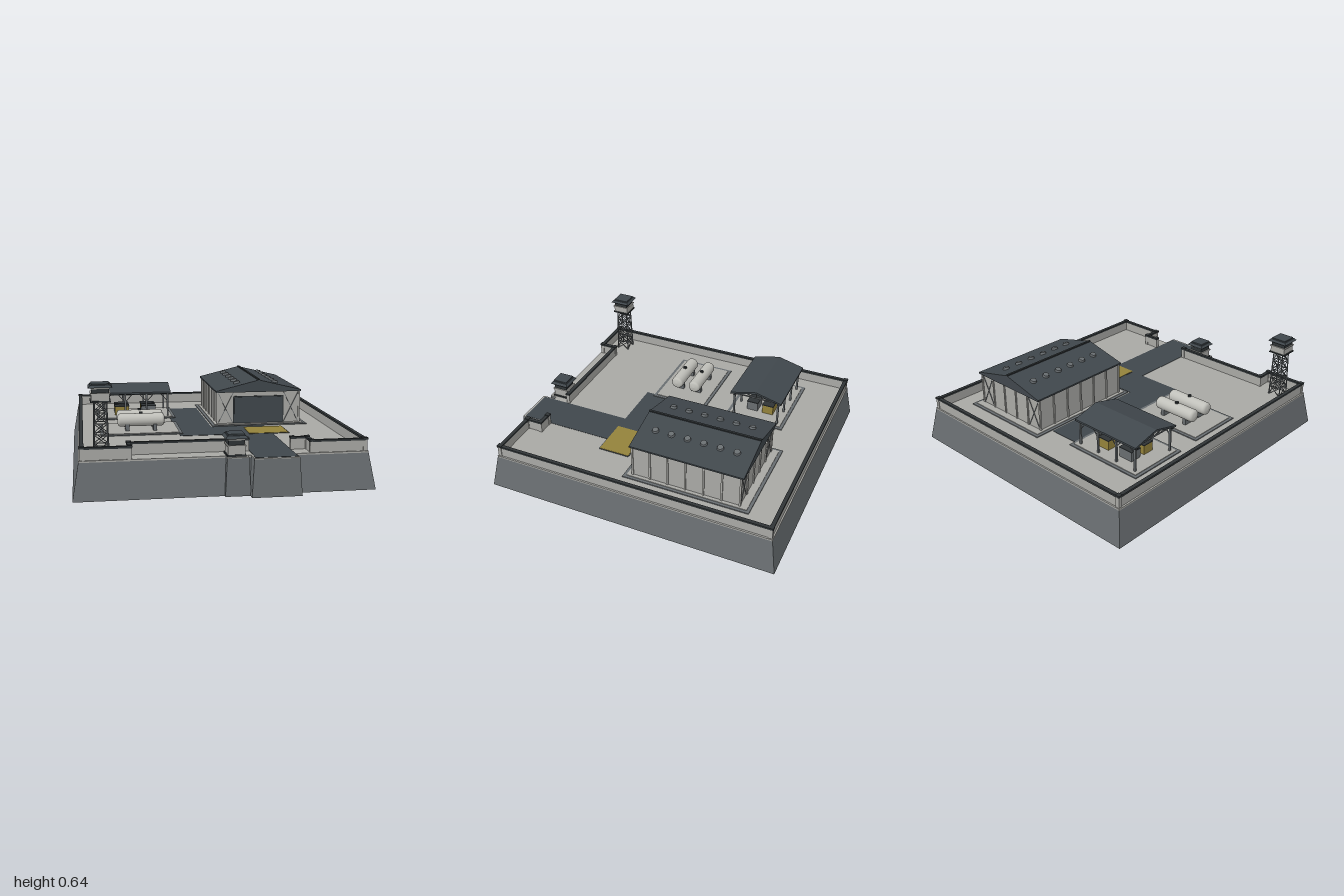
import * as THREE from 'three';

const mat = (name, color, side = THREE.FrontSide) => {
  const m = new THREE.MeshStandardMaterial({ color, side });
  m.name = name;
  return m;
};

export function createModel() {
  const concrete = mat('light concrete', 0xa9a9a5);
  const stone = mat('grey stone', 0x686d70);
  const slate = mat('dark slate', 0x40474c);
  const charcoal = mat('charcoal', 0x2f3436);
  const steel = mat('pale steel', 0xc0c0ba);
  const ochre = mat('ochre', 0x94823b);

  const root = new THREE.Group();
  root.name = 'walledCompound';
  const group = (name, parent = root) => {
    const g = new THREE.Group();
    g.name = name;
    parent.add(g);
    return g;
  };
  const add = (parent, name, geo, material) => {
    const m = new THREE.Mesh(geo, material);
    m.name = name;
    parent.add(m);
    return m;
  };
  // box given by its limits
  const box = (p, name, m, x0, x1, y0, y1, z0, z1) => {
    const b = add(p, name, new THREE.BoxGeometry(x1 - x0, y1 - y0, z1 - z0), m);
    b.position.set((x0 + x1) / 2, (y0 + y1) / 2, (z0 + z1) / 2);
    return b;
  };
  // box whose top is drawn in on every side
  const frustum = (p, name, m, x0, x1, y0, y1, z0, z1, inset) => {
    const b = box(p, name, m, x0, x1, y0, y1, z0, z1);
    const a = b.geometry.attributes.position;
    for (let i = 0; i < a.count; i++) {
      if (a.getY(i) > 0) {
        a.setX(i, a.getX(i) - Math.sign(a.getX(i)) * inset);
        a.setZ(i, a.getZ(i) - Math.sign(a.getZ(i)) * inset);
      }
    }
    b.geometry.computeVertexNormals();
    return b;
  };
  // square bar between two points
  const beam = (p, name, m, a, b, t) => {
    const A = new THREE.Vector3(...a), B = new THREE.Vector3(...b);
    const s = add(p, name, new THREE.BoxGeometry(t, t, A.distanceTo(B)), m);
    s.position.copy(A).add(B).multiplyScalar(0.5);
    s.lookAt(B);
    return s;
  };
  const extrude = (pts, depth) => new THREE.ExtrudeGeometry(
    new THREE.Shape(pts.map(q => new THREE.Vector2(...q))), { depth, bevelEnabled: false });

  // Sloped plinth with paved top, entrance ramp block and guard block
  const F = 0.225;
  const plinth = group('plinth');
  frustum(plinth, 'plinthSlope', stone, -0.88, 0.88, 0, 0.215, -1, 0.935, 0.038);
  box(plinth, 'pavedGround', concrete, -0.842, 0.842, 0.215, F, -0.962, 0.897);
  frustum(plinth, 'entranceBlock', stone, 0.125, 0.42, 0, 0.22, 0.7, 1, 0.015);
  box(plinth, 'entranceSlab', concrete, 0.14, 0.405, 0.22, F, 0.7, 0.985);
  frustum(plinth, 'guardBlock', stone, -0.02, 0.13, 0, 0.22, 0.7, 0.955, 0.012);
  box(plinth, 'guardSlab', concrete, -0.008, 0.118, 0.22, F, 0.7, 0.943);

  // Roads and marked parking pad
  const roads = group('roads');
  [[-0.2, 0.04, -0.64, 0.33], [0.04, 0.15, 0.08, 0.33], [0.15, 0.4, 0.05, 0.97]].forEach(
    ([a, b, c, d]) => box(roads, 'road', slate, a, b, F, F + 0.002, c, d));
  box(roads, 'padEdge', slate, 0.243, 0.512, F, F + 0.003, 0.122, 0.338);
  box(roads, 'yellowPad', ochre, 0.248, 0.507, F, F + 0.005, 0.127, 0.333);

  // Raised foundations with a darker border
  [[0.05, 0.7, -0.765, 0.07], [-0.71, -0.16, -0.685, -0.275], [-0.7, -0.175, -0.12, 0.27]].forEach(
    ([a, b, c, d]) => {
      const f = group('foundation');
      box(f, 'foundationBorder', stone, a, b, F, F + 0.006, c, d);
      box(f, 'foundationTop', concrete, a + 0.02, b - 0.02, F, F + 0.01, c + 0.02, d - 0.02);
    });

  // Perimeter wall with dark coping and a post at each turn
  const wall = group('perimeterWall');
  const path = [[0.41, 0.78], [0.5, 0.78], [0.5, 0.88], [0.823, 0.88], [0.823, -0.945],
    [-0.823, -0.945], [-0.823, 0.88], [-0.555, 0.88], [-0.555, 0.78], [0.135, 0.78]];
  path.forEach(([x, z], i) => {
    box(wall, 'wallPost', concrete, x - 0.012, x + 0.012, F, 0.292, z - 0.012, z + 0.012);
    box(wall, 'postCap', charcoal, x - 0.015, x + 0.015, 0.292, 0.304, z - 0.015, z + 0.015);
    if (i === path.length - 1) return;
    const [u, v] = path[i + 1];
    const x0 = Math.min(x, u), x1 = Math.max(x, u), z0 = Math.min(z, v), z1 = Math.max(z, v);
    box(wall, 'wallPanel', concrete, x0 - 0.008, x1 + 0.008, F, 0.29, z0 - 0.008, z1 + 0.008);
    box(wall, 'wallCoping', charcoal, x0 - 0.012, x1 + 0.012, 0.288, 0.3, z0 - 0.012, z1 + 0.012);
  });

  // Hangar
  const hangar = group('hangar');
  const H = F + 0.008;
  box(hangar, 'hangarWalls', concrete, 0.093, 0.657, H, 0.45, -0.695, 0.015);
  const roof = add(hangar, 'hangarRoof', extrude(
    [[0.08, 0.448], [0.67, 0.448], [0.67, 0.458], [0.375, 0.53], [0.08, 0.458]], 0.745), slate);
  roof.position.z = -0.715;
  box(hangar, 'roofRidge', charcoal, 0.368, 0.382, 0.524, 0.536, -0.715, 0.03);
  for (let i = 0; i < 7; i++) {
    const z = -0.695 + i * 0.71 / 6;
    for (const x of [0.092, 0.658]) box(hangar, 'wallRib', concrete, x - 0.006, x + 0.006, H, 0.448, z - 0.006, z + 0.006);
  }
  for (let i = 1; i < 5; i++) {
    const x = 0.093 + i * 0.564 / 5;
    box(hangar, 'backRib', concrete, x - 0.005, x + 0.005, H, 0.448, -0.702, -0.694);
  }
  for (const z of [-0.697, 0.017]) {
    for (const [a, b] of [[0.096, 0.2], [0.55, 0.654]]) {
      beam(hangar, 'crossBrace', stone, [a, H, z], [b, 0.445, z], 0.004);
      beam(hangar, 'crossBrace', stone, [b, H, z], [a, 0.445, z], 0.004);
    }
  }
  box(hangar, 'doorFrame', charcoal, 0.2, 0.55, H, 0.42, 0.01, 0.018);
  box(hangar, 'hangarDoor', slate, 0.207, 0.543, H, 0.413, 0.015, 0.022);
  for (const [x, s] of [[0.24, 1], [0.51, -1]]) {
    for (let i = 0; i < 6; i++) {
      const v = add(hangar, 'roofVent', new THREE.CylinderGeometry(0.019, 0.023, 0.016, 12), stone);
      v.position.set(x, 0.53 - Math.abs(x - 0.375) * 0.244 + 0.006, -0.61 + i * 0.107);
      v.rotation.z = s * 0.24;
    }
  }

  // Open shelter on posts
  const shelter = group('openShelter');
  const sheet = add(shelter, 'shelterRoof', extrude(
    [[-0.18, 0.398], [0, 0.442], [0.18, 0.398], [0.18, 0.41], [0, 0.455], [-0.18, 0.41]], 0.495), slate);
  sheet.rotation.y = Math.PI / 2;
  sheet.position.set(-0.685, 0, -0.48);
  for (let i = 0; i < 4; i++) {
    const x = -0.66 + i * 0.15;
    for (const z of [-0.635, -0.325]) {
      box(shelter, 'shelterPost', stone, x - 0.006, x + 0.006, F, 0.4, z - 0.006, z + 0.006);
      for (const s of [-1, 1]) {
        if (x + s * 0.05 < -0.2 && x + s * 0.05 > -0.67)
          beam(shelter, 'kneeBrace', stone, [x, 0.34, z], [x + s * 0.05, 0.395, z], 0.005);
      }
    }
    // roof truss
    beam(shelter, 'tieBeam', stone, [x, 0.398, -0.64], [x, 0.398, -0.32], 0.007);
    beam(shelter, 'kingPost', stone, [x, 0.398, -0.48], [x, 0.445, -0.48], 0.006);
    for (const s of [-1, 1]) beam(shelter, 'trussStrut', stone, [x, 0.398, -0.48], [x, 0.42, -0.48 + s * 0.08], 0.005);
  }
  for (const z of [-0.635, -0.325]) box(shelter, 'eaveBeam', charcoal, -0.68, -0.195, 0.392, 0.402, z - 0.005, z + 0.005);

  // Stored crates beneath the shelter
  [[-0.53, -0.43, ochre], [-0.53, -0.54, stone], [-0.34, -0.43, stone], [-0.34, -0.54, ochre]].forEach(([x, z, m]) => {
    box(shelter, 'crate', m, x - 0.05, x + 0.05, F, 0.295, z - 0.038, z + 0.038);
    box(shelter, 'crateLid', charcoal, x - 0.052, x + 0.052, 0.295, 0.3, z - 0.04, z + 0.04);
  });

  // Storage tanks on saddles
  const profile = [[0, -0.155], [0.025, -0.152], [0.037, -0.146], [0.042, -0.136],
    [0.042, 0.136], [0.037, 0.146], [0.025, 0.152], [0, 0.155]].map(p => new THREE.Vector2(...p));
  for (const z of [0.01, 0.14]) {
    const t = group('storageTank');
    t.position.set(-0.435, 0.303, z);
    add(t, 'tankShell', new THREE.LatheGeometry(profile, 24), steel).rotation.z = Math.PI / 2;
    add(t, 'tankHatch', new THREE.CylinderGeometry(0.012, 0.012, 0.014, 12), charcoal).position.y = 0.045;
    for (const x of [-0.09, 0.09]) box(t, 'tankSaddle', stone, x - 0.012, x + 0.012, -0.07, -0.025, -0.034, 0.034);
  }

  // Lookout cabin shared by the watchtower and the gatehouse; y is its floor
  const cabin = (p, x, z, y, r, h) => {
    const ring = (name, m, s, a, b) => box(p, name, m, x - s, x + s, y + a * h, y + b * h, z - s, z + s);
    ring('cabinBase', charcoal, r + 0.006, 0, 0.08);
    ring('cabinWall', concrete, r, 0.08, 0.48);
    ring('cabinSill', concrete, r + 0.005, 0.44, 0.5);
    ring('cabinWindows', charcoal, r - 0.003, 0.5, 0.72);
    ring('cabinLintel', concrete, r, 0.72, 0.8);
    const e = r + 0.016;
    frustum(p, 'cabinRoof', slate, x - e, x + e, y + 0.8 * h, y + 0.93 * h, z - e, z + e, 0.012);
    ring('roofCap', slate, r - 0.002, 0.93, 1);
  };
  const gatehouse = group('gatehouse');
  cabin(gatehouse, 0.05, 0.867, F, 0.05, 0.13);

  // Lattice watchtower
  const tower = group('watchtower');
  const tx = -0.71, tz = 0.768, top = 0.54;
  const corners = [[-1, -1], [1, -1], [1, 1], [-1, 1]];
  const at = (c, y) => {
    const r = 0.042 - 0.008 * (y - F) / (top - F);
    return [tx + c[0] * r, y, tz + c[1] * r];
  };
  const bays = 5;
  corners.forEach((c, k) => {
    const d = corners[(k + 1) % 4];
    beam(tower, 'towerLeg', stone, at(c, F), at(c, top), 0.007);
    for (let i = 0; i < bays; i++) {
      const y0 = F + (top - F) * i / bays, y1 = F + (top - F) * (i + 1) / bays;
      beam(tower, 'towerBrace', stone, at(c, y0), at(d, y1), 0.004);
      beam(tower, 'towerBrace', stone, at(d, y0), at(c, y1), 0.004);
      beam(tower, 'towerRail', stone, at(c, y1), at(d, y1), 0.005);
    }
  });
  cabin(tower, tx, tz, top, 0.052, 0.105);

  return root;
}
